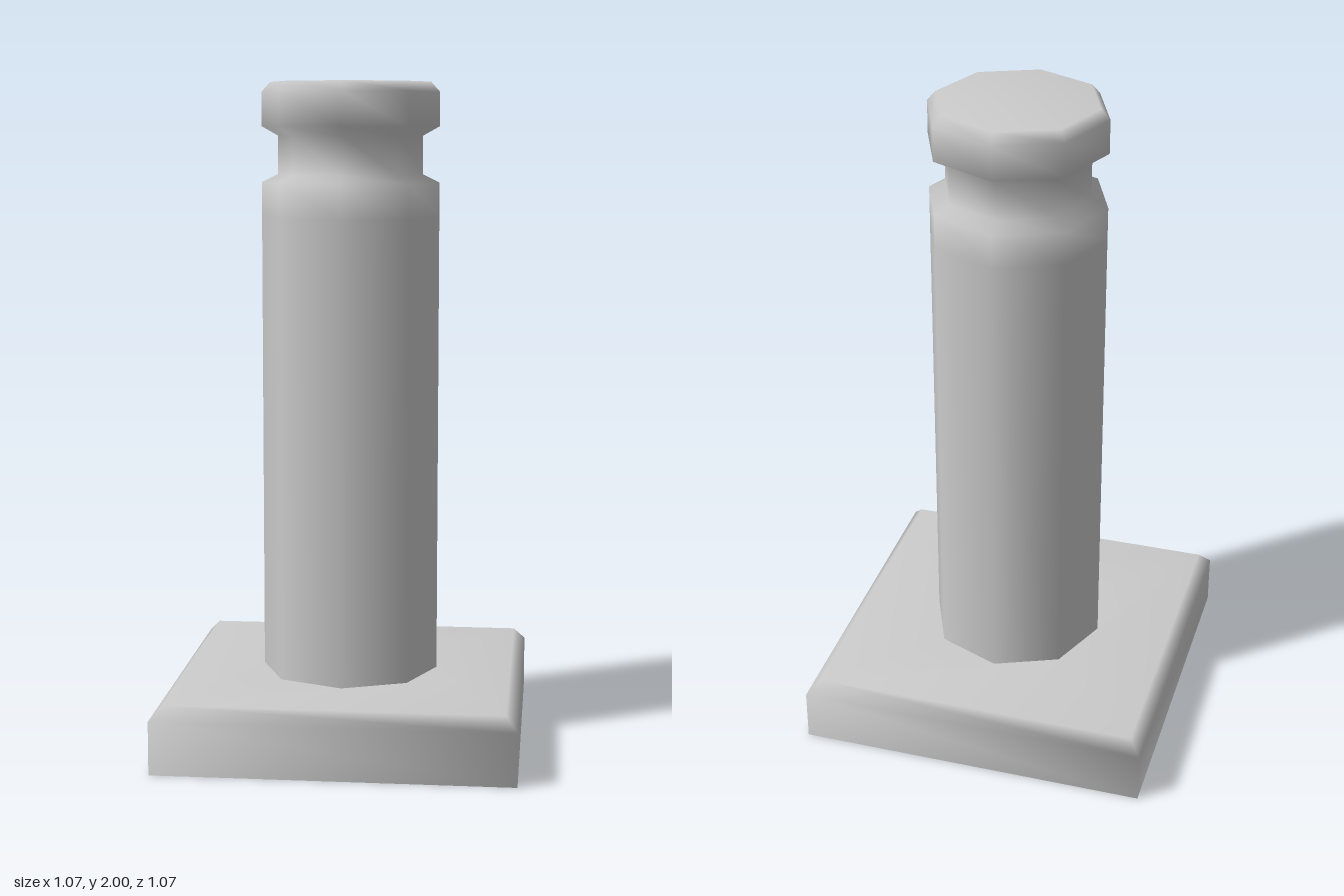
import * as THREE from 'three';
import { mergeGeometries, mergeVertices } from 'three/addons/utils/BufferGeometryUtils.js';

const material = new THREE.MeshStandardMaterial({ color: 0xcccccc, side: THREE.DoubleSide });

const POST_R = 0.27;
const PLATE_TOP = 0.2;

// Revolve [radius, height] pairs, listed from the bottom up
function revolve(points, sides, start = 0) {
  return new THREE.LatheGeometry(points.map(([r, y]) => new THREE.Vector2(r, y)), sides, start);
}

// Keep positions only, so touching parts weld into one smooth surface
function weld(parts) {
  parts.forEach((g) => { g.deleteAttribute('uv'); g.deleteAttribute('normal'); });
  const geometry = mergeVertices(mergeGeometries(parts), 1e-4);
  geometry.computeVertexNormals();
  return geometry;
}

// Square plate, bevelled on top, open below, with an eight-sided hole under the post
function plateGeometry() {
  const half = 0.535, inner = 0.5, d = Math.SQRT2;
  const walls = revolve([[half * d, 0], [half * d, 0.16], [inner * d, PLATE_TOP]], 4, Math.PI / 4);

  const top = new THREE.Shape([[-1, -1], [1, -1], [1, 1], [-1, 1]]
    .map(([x, y]) => new THREE.Vector2(x * inner, y * inner)));
  const hole = [];
  for (let i = 0; i < 8; i++) {
    const a = -i * Math.PI / 4;
    hole.push(new THREE.Vector2(POST_R * Math.cos(a), POST_R * Math.sin(a)));
  }
  top.holes.push(new THREE.Path(hole));
  const lid = new THREE.ShapeGeometry(top);
  lid.rotateX(-Math.PI / 2);
  lid.translate(0, PLATE_TOP, 0);
  return weld([walls, lid]);
}

export function createModel() {
  const group = new THREE.Group();
  group.name = 'bollard';

  const plate = new THREE.Mesh(plateGeometry(), material);
  plate.name = 'basePlate';

  // Hollow eight-sided shaft with a shoulder, narrow neck and bevelled cap
  const post = new THREE.Mesh(revolve([
    [POST_R, PLATE_TOP], [POST_R, 1.6], [POST_R, 1.7],
    [0.22, 1.725], [0.22, 1.84],
    [POST_R, 1.868], [POST_R, 1.97], [0.243, 2], [0, 2],
  ], 8), material);
  post.name = 'post';

  group.add(plate, post);
  return group;
}
